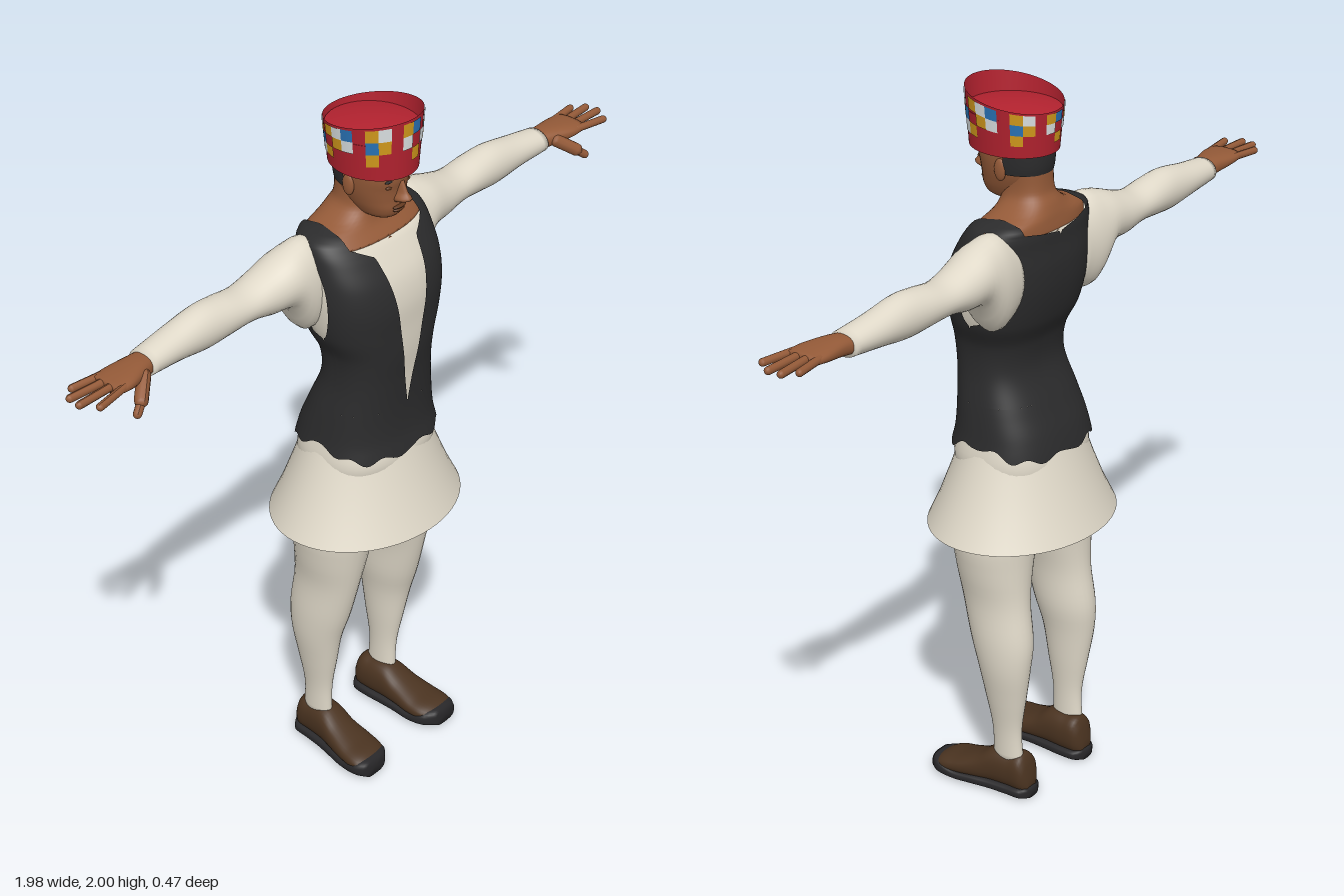
import * as THREE from 'three';
import { mergeGeometries } from 'three/addons/utils/BufferGeometryUtils.js';

const mat = (name, color, side = THREE.FrontSide) => {
  const m = new THREE.MeshStandardMaterial({ color, side });
  m.name = name;
  return m;
};
const { lerp, clamp, smoothstep } = THREE.MathUtils;

// Smooth interpolation of table rows [t, aLow, aHigh, bLow, bHigh]
function sample(rows, t) {
  let i = 0;
  while (i < rows.length - 2 && t > rows[i + 1][0]) i++;
  const p = rows[i], q = rows[i + 1], h = q[0] - p[0], s = clamp((t - p[0]) / h, 0, 1);
  const slope = (k, j) => {
    const l = rows[Math.max(k - 1, 0)], r = rows[Math.min(k + 1, rows.length - 1)];
    return (r[j] - l[j]) / (r[0] - l[0]);
  };
  return [1, 2, 3, 4].map(j => {
    const s2 = s * s, s3 = s2 * s;
    return (2 * s3 - 3 * s2 + 1) * p[j] + (s3 - 2 * s2 + s) * h * slope(i, j)
      + (3 * s2 - 2 * s3) * q[j] + (s3 - s2) * h * slope(i + 1, j);
  });
}

// Grid surface from f(u, v) -> [x, y, z]; closed joins u = 1 to u = 0
function surface(f, nu, nv, closed = false) {
  const pos = [], idx = [], w = closed ? nu : nu + 1;
  for (let j = 0; j <= nv; j++) for (let i = 0; i < w; i++) pos.push(...f(i / nu, j / nv));
  for (let j = 0; j < nv; j++) for (let i = 0; i < nu; i++) {
    const k = (i + 1) % w, a = j * w + i, b = j * w + k, c = a + w, d = b + w;
    idx.push(a, b, d, a, d, c);
  }
  const g = new THREE.BufferGeometry();
  g.setAttribute('position', new THREE.Float32BufferAttribute(pos, 3));
  g.setIndex(idx);
  g.computeVertexNormals();
  return g;
}

// Point on a rounded cross-section
function ringPoint(rows, t, th, n = 2, off = 0) {
  const [a0, a1, b0, b1] = sample(rows, t);
  const p = v => Math.sign(v) * Math.pow(Math.abs(v), 2 / n);
  return [(a0 + a1) / 2 + ((a1 - a0) / 2 + off) * p(Math.sin(th)),
    (b0 + b1) / 2 + ((b1 - b0) / 2 + off) * p(Math.cos(th))];
}

// Capped loft; place(t, a, b) puts each point in space
function loft(rows, place, { n = 2, nu = 32, nv = 36, from = rows[0][0], to = rows.at(-1)[0] } = {}) {
  return surface((u, v) => {
    const j = Math.round(v * (nv + 2)) - 1;
    const t = lerp(from, to, clamp(j / nv, 0, 1));
    if (j < 0 || j > nv) {
      const [a0, a1, b0, b1] = sample(rows, t);
      return place(t, (a0 + a1) / 2, (b0 + b1) / 2);
    }
    return place(t, ...ringPoint(rows, t, u * Math.PI * 2, n));
  }, nu, nv + 2, true);
}
const alongY = (t, a, b) => [a, t, b], alongX = (t, a, b) => [t, b, a], alongZ = (t, a, b) => [b, a, t];

function mirrored(g) {
  const m = g.clone().scale(-1, 1, 1), ix = m.index.array;
  for (let i = 0; i < ix.length; i += 3) [ix[i], ix[i + 1]] = [ix[i + 1], ix[i]];
  m.computeVertexNormals();
  return m;
}
const ball = (x, y, z, rx, ry, rz) => new THREE.SphereGeometry(1, 20, 14).scale(rx, ry, rz).translate(x, y, z);
function finger(a, b, r) {
  const p = new THREE.Vector3(...a), d = new THREE.Vector3(...b).sub(p), len = d.length();
  const g = new THREE.CapsuleGeometry(r, len, 4, 10).translate(0, len / 2, 0);
  g.applyQuaternion(new THREE.Quaternion().setFromUnitVectors(new THREE.Vector3(0, 1, 0), d.normalize()));
  return g.translate(p.x, p.y, p.z);
}

const sym = (y, h, back, front) => [y, -h, h, back, front];
const TORSO = [sym(0.92, 0.17, -0.14, 0.13), sym(1.0, 0.188, -0.152, 0.156), sym(1.08, 0.176, -0.135, 0.142),
  sym(1.15, 0.165, -0.105, 0.138), sym(1.25, 0.148, -0.065, 0.142), sym(1.33, 0.152, -0.07, 0.15),
  sym(1.4, 0.18, -0.1, 0.152), sym(1.48, 0.194, -0.118, 0.153), sym(1.55, 0.197, -0.122, 0.138),
  sym(1.61, 0.195, -0.116, 0.105), sym(1.645, 0.19, -0.114, 0.08), sym(1.67, 0.172, -0.11, 0.058),
  sym(1.685, 0.122, -0.107, 0.05), sym(1.71, 0.078, -0.098, 0.045), sym(1.735, 0.063, -0.085, 0.045),
  sym(1.8, 0.06, -0.08, 0.04)];
const HEAD = [sym(1.695, 0.018, 0.01, 0.07), sym(1.708, 0.042, -0.02, 0.1), sym(1.73, 0.056, -0.045, 0.113),
  sym(1.76, 0.067, -0.065, 0.115), sym(1.79, 0.074, -0.076, 0.118), sym(1.82, 0.077, -0.08, 0.124),
  sym(1.87, 0.078, -0.08, 0.122)];
const SLEEVE = [[0.13, -0.11, 0.02, 1.43, 1.655], [0.19, -0.122, 0.03, 1.405, 1.672], [0.22, -0.124, 0.032, 1.43, 1.668],
  [0.26, -0.122, 0.028, 1.497, 1.657], [0.33, -0.118, 0.015, 1.51, 1.632], [0.4, -0.112, 0.005, 1.523, 1.615],
  [0.48, -0.11, 0.003, 1.518, 1.625], [0.55, -0.106, 0.001, 1.513, 1.63], [0.65, -0.1, -0.003, 1.525, 1.614],
  [0.75, -0.09, -0.003, 1.533, 1.6]];
const PALM = [[0.74, -0.08, -0.012, 1.54, 1.592], [0.78, -0.08, 0, 1.545, 1.595], [0.84, -0.085, 0.018, 1.553, 1.592],
  [0.885, -0.082, 0.018, 1.56, 1.587]];
const LEG = [[0.1, 0.11, 0.16, -0.105, -0.01], [0.2, 0.108, 0.165, -0.1, -0.008], [0.3, 0.098, 0.182, -0.115, 0.01],
  [0.4, 0.088, 0.2, -0.13, 0.03], [0.48, 0.074, 0.206, -0.135, 0.055], [0.6, 0.064, 0.206, -0.12, 0.085],
  [0.7, 0.038, 0.222, -0.118, 0.105], [0.8, 0.01, 0.23, -0.122, 0.12], [0.97, 0.01, 0.18, -0.13, 0.125]];
const SHOE = [[-0.13, 0.02, 0.06, 0.105, 0.145], [-0.115, 0.012, 0.118, 0.085, 0.165], [-0.07, 0.012, 0.127, 0.079, 0.171],
  [-0.015, 0.012, 0.124, 0.08, 0.178], [0.03, 0.012, 0.096, 0.08, 0.188], [0.09, 0.012, 0.072, 0.077, 0.2],
  [0.14, 0.012, 0.06, 0.085, 0.202], [0.168, 0.018, 0.045, 0.115, 0.185]];
// Sole follows the shoe outline, slightly wider and rising at the toe
const SOLE = SHOE.map(([z, , , a, b]) => [z * 1.03, 0, z > 0.12 ? 0.052 : 0.034, a - 0.004, b + 0.004]);

export function createModel() {
  const D = THREE.DoubleSide;
  const cream = mat('cream cloth', 0xe0d9c9, D), charcoal = mat('charcoal cloth', 0x2b2b2c, D);
  const skin = mat('skin', 0x945a38), darkSkin = mat('dark skin', 0x63391f);
  const leather = mat('brown leather', 0x4a3320), sole = mat('dark sole', 0x29282a);
  const red = mat('red felt', 0xb3222f, D), gold = mat('gold tile', 0xd39a1c, D);
  const blue = mat('blue tile', 0x2a74b8, D), pale = mat('pale tile', 0xdde3e4, D);
  const model = new THREE.Group();
  const add = (name, geo, m, parent = model) => {
    const mesh = new THREE.Mesh(geo, m);
    mesh.name = name;
    parent.add(mesh);
  };
  const pair = (name, geo, m) => {
    add('left' + name, geo, m);
    add('right' + name, mirrored(geo), m);
  };

  // Shirt, neck and skirt
  add('shirt', loft(TORSO, alongY, { n: 2.5, nu: 48, nv: 48, to: 1.642 }), cream);
  add('neck', loft(TORSO, alongY, { n: 2.3, nu: 40, nv: 20, from: 1.638 }), skin);
  const profile = [[0.165, 1.09], [0.189, 1.02], [0.216, 0.95], [0.25, 0.87], [0.286, 0.8]];
  add('skirt', new THREE.LatheGeometry(profile.map(p => new THREE.Vector2(...p)).reverse(), 64).scale(1, 1, 0.822), cream);

  // Vest: a band round the waist, two front panels and two back panels
  const vestPoint = (th, y) => {
    const [x, z] = ringPoint(TORSO, y, th, 2.5, 0.009);
    return [x, y, z];
  };
  const hem = th => 1.03 + 0.03 * Math.sin(th) ** 8 + 0.008 * Math.sin(11 * th);
  add('vestBand', surface((u, v) => {
    const th = u * Math.PI * 2;
    return vestPoint(th, lerp(hem(th), 1.17, v));
  }, 96, 10, true), charcoal);
  const angleAt = (x, y) => Math.asin(Math.min(1, (x / (sample(TORSO, y)[1] + 0.009)) ** 1.25));
  const armhole = y => (y > 1.4 && y < 1.66 ? Math.sin(Math.PI * (y - 1.4) / 0.26) ** 0.7 : 0);
  const panelY = v => lerp(1.17, 1.686, v);
  pair('VestFront', surface((u, v) => {
    const y = panelY(v);
    const x = 0.078 * clamp((y - 1.17) / 0.45, 0, 1) + 0.057 * clamp((y - 1.62) / 0.03, 0, 1);
    return vestPoint(lerp(angleAt(x, y), Math.PI / 2 - 0.2 * armhole(y), u), y);
  }, 20, 56), charcoal);
  pair('VestBack', surface((u, v) => {
    const y = panelY(v), x = 0.128 * smoothstep(y, 1.637, 1.66);
    return vestPoint(lerp(Math.PI / 2 + 0.62 * armhole(y), Math.PI - angleAt(x, y), u), y);
  }, 20, 56), charcoal);

  // Arms and hands
  pair('Sleeve', loft(SLEEVE, alongX), cream);
  pair('Palm', loft(PALM, alongX, { nv: 12, n: 2.4 }), skin);
  const tips = [[-0.071, -0.083, 0.945], [-0.045, -0.055, 0.978], [-0.018, -0.018, 0.982], [0.007, 0.024, 0.955]];
  pair('Fingers', mergeGeometries([
    ...tips.map(([z0, z1, x]) => finger([0.86, 1.575, z0], [x, 1.573, z1], 0.0105)),
    finger([0.785, 1.565, -0.005], [0.83, 1.532, 0.03], 0.018),
    finger([0.82, 1.538, 0.026], [0.855, 1.511, 0.042], 0.0115)]), skin);

  // Legs and shoes
  pair('Leg', loft(LEG, alongY), cream);
  pair('Shoe', loft(SHOE, alongZ, { n: 2.3 }), leather);
  pair('Sole', loft(SOLE, alongZ, { n: 3 }), sole);

  // Head and face
  add('head', loft(HEAD, alongY, { n: 2.2 }), skin);
  const bridge = [sym(1.758, 0.016, 0.09, 0.128), sym(1.768, 0.02, 0.09, 0.152), sym(1.785, 0.012, 0.09, 0.142),
    sym(1.815, 0.008, 0.09, 0.128)];
  add('nose', loft(bridge, alongY, { nu: 16, nv: 14 }), skin);
  add('lips', mergeGeometries([ball(0, 1.741, 0.114, 0.023, 0.005, 0.009), ball(0, 1.732, 0.112, 0.02, 0.006, 0.009)]), darkSkin);
  pair('Ear', ball(0.077, 1.795, 0.012, 0.009, 0.03, 0.018), skin);
  pair('Eye', ball(0.031, 1.803, 0.109, 0.014, 0.006, 0.006), darkSkin);
  pair('Eyebrow', ball(0.032, 1.822, 0.112, 0.02, 0.004, 0.006), charcoal);
  add('hair', surface((u, v) => {
    const y = lerp(1.785, 1.86, v), [x, z] = ringPoint(HEAD, y, lerp(1.75, Math.PI * 2 - 1.75, u), 2.2, 0.006);
    return [x, y, z];
  }, 30, 8), charcoal);

  // Hat: flared wall with a rim sloping to the back, and a sunken crown
  const hatPoint = (th, t, off = 0) => {
    const top = 1.978 + 0.022 * Math.cos(th);
    return [(lerp(0.106, 0.12, t) + off) * Math.sin(th), lerp(1.84, top, t),
      0.026 + (lerp(0.122, 0.131, t) + off) * Math.cos(th)];
  };
  add('hatWall', surface((u, v) => hatPoint(u * Math.PI * 2, v), 72, 6, true), red);
  add('hatCrown', surface((u, v) => {
    const th = u * Math.PI * 2, r = 1 - v;
    return [0.117 * r * Math.sin(th), 1.94 + 0.016 * (1 - r * r), 0.026 + 0.127 * r * Math.cos(th)];
  }, 48, 8, true), red);

  // Hat tiles, rows from low to high (r leaves the red felt showing)
  const pattern = ['grrygrrrgrrr', 'rygbrgyrbgry', 'bryrgybrgyrg'].map(s => s.replaceAll('g', 'G').replaceAll('y', 'w'));
  const tileMats = { G: gold, b: blue, w: pale };
  for (const [key, m] of Object.entries(tileMats)) {
    const tiles = [];
    pattern.forEach((row, r) => {
      for (let c = 0; c < 24; c++) if (row[c % 12] === key) {
        tiles.push(surface((u, v) => hatPoint((c + u) * Math.PI / 12, 0.27 + (r + v) * 0.23, 0.0025), 3, 1));
      }
    });
    add(m.name.replace(' tile', '') + 'HatTiles', mergeGeometries(tiles), m);
  }
  return model;
}
